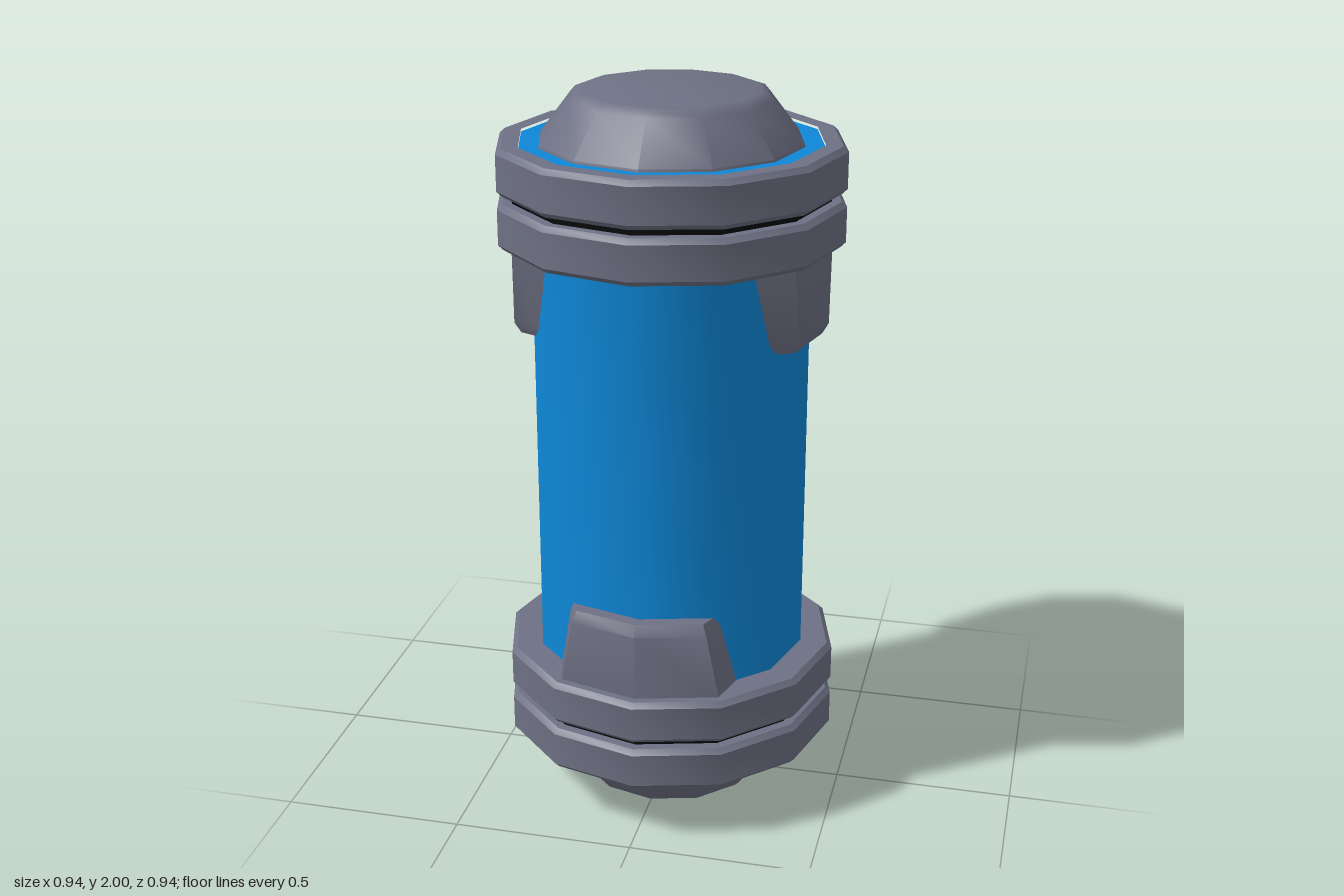
import * as THREE from 'three';
import { toCreasedNormals } from 'three/addons/utils/BufferGeometryUtils.js';

const SIDES = 12;
const CREASE = 0.6;

export function createModel() {
  const model = new THREE.Group();
  model.name = 'canister';
  const material = (name, color) => {
    const m = new THREE.MeshStandardMaterial({ color });
    m.name = name;
    return m;
  };
  const grey = material('grey casing', 0x6e7184);
  const blue = material('blue tube', 0x0e88d8);
  const black = material('black groove', 0x08080a);

  const add = (name, geometry, mat) => {
    const mesh = new THREE.Mesh(geometry, mat);
    mesh.name = name;
    model.add(mesh);
    return mesh;
  };
  // Twelve-sided turned part; profile points run from bottom to top
  const turned = (name, profile, mat) => add(name, toCreasedNormals(
    new THREE.LatheGeometry(profile.map(([r, y]) => new THREE.Vector2(r, y)), SIDES), CREASE), mat);

  // Tube with a wider flange inside each pair of rings
  turned('tube', [[0.3, 0.172], [0.41, 0.172], [0.41, 0.36], [0.38, 0.36],
    [0.38, 1.67], [0.41, 1.67], [0.41, 1.863], [0.3, 1.863]], blue);

  // Collar rings with bevelled rims
  const ring = (name, y0, y1, inner) => {
    const R = 0.47, b = 0.014;
    turned(name, [[inner, y0], [R - b, y0], [R, y0 + b], [R, y1 - b], [R - b, y1], [inner, y1]], grey);
  };
  ring('topOuterRing', 1.745, 1.87, 0.41);
  ring('topInnerRing', 1.602, 1.724, 0.36);
  ring('bottomInnerRing', 0.309, 0.432, 0.36);
  ring('bottomOuterRing', 0.165, 0.287, 0.41);

  // Dark grooves between the rings
  turned('topGroove', [[0.43, 1.69], [0.43, 1.78]], black);
  turned('bottomGroove', [[0.43, 0.25], [0.43, 0.34]], black);

  // Tapered end caps
  turned('topCap', [[0.357, 1.86], [0.355, 1.87], [0.272, 1.978], [0.258, 1.994], [0.24, 2], [0, 2]], grey);
  turned('bottomCap', [[0, 0], [0.24, 0], [0.258, 0.006], [0.272, 0.022], [0.376, 0.165], [0.38, 0.175]], grey);

  // Clips that hug the tube and narrow towards the tip
  const clipGeometry = (length) => {
    const sections = [
      { y: 0, half: [[0.27, 0.25], [0.375, 0.222], [0.435, 0]] },
      { y: 0.03 - length, half: [[0.31, 0.21], [0.385, 0.187], [0.432, 0]] },
      { y: -length, half: [[0.31, 0.2], [0.37, 0.175], [0.415, 0]] },
    ];
    const rows = sections.map(({ y, half }) => {
      const mirrored = [half[1], half[0]].map(([x, z]) => [x, -z]);
      return [...half, ...mirrored].map(([x, z]) => [x, y, z]);
    });
    const positions = [];
    const tri = (...corners) => corners.forEach((p) => positions.push(...p));
    for (let r = 0; r < 2; r++) {
      for (let i = 0; i < 4; i++) {
        const a = rows[r][i], b = rows[r + 1][i], c = rows[r + 1][i + 1], d = rows[r][i + 1];
        tri(a, b, c);
        tri(a, c, d);
      }
    }
    const tip = rows[2];
    for (let i = 1; i < 4; i++) tri(tip[0], tip[i + 1], tip[i]);
    const g = new THREE.BufferGeometry();
    g.setAttribute('position', new THREE.Float32BufferAttribute(positions, 3));
    return toCreasedNormals(g, CREASE);
  };
  const topClip = clipGeometry(0.25);
  const bottomClip = clipGeometry(0.225);
  for (const side of [0, 1]) {
    const upper = add(side ? 'rightTopClip' : 'leftTopClip', topClip, grey);
    upper.position.y = 1.61;
    upper.rotation.y = side * Math.PI;
    const lower = add(side ? 'frontBottomClip' : 'backBottomClip', bottomClip, grey);
    lower.position.y = 0.42;
    lower.rotation.set(Math.PI, Math.PI / 2 + side * Math.PI, 0);
  }
  // Lower clips turn to front and back after flipping upside down
  return model;
}
